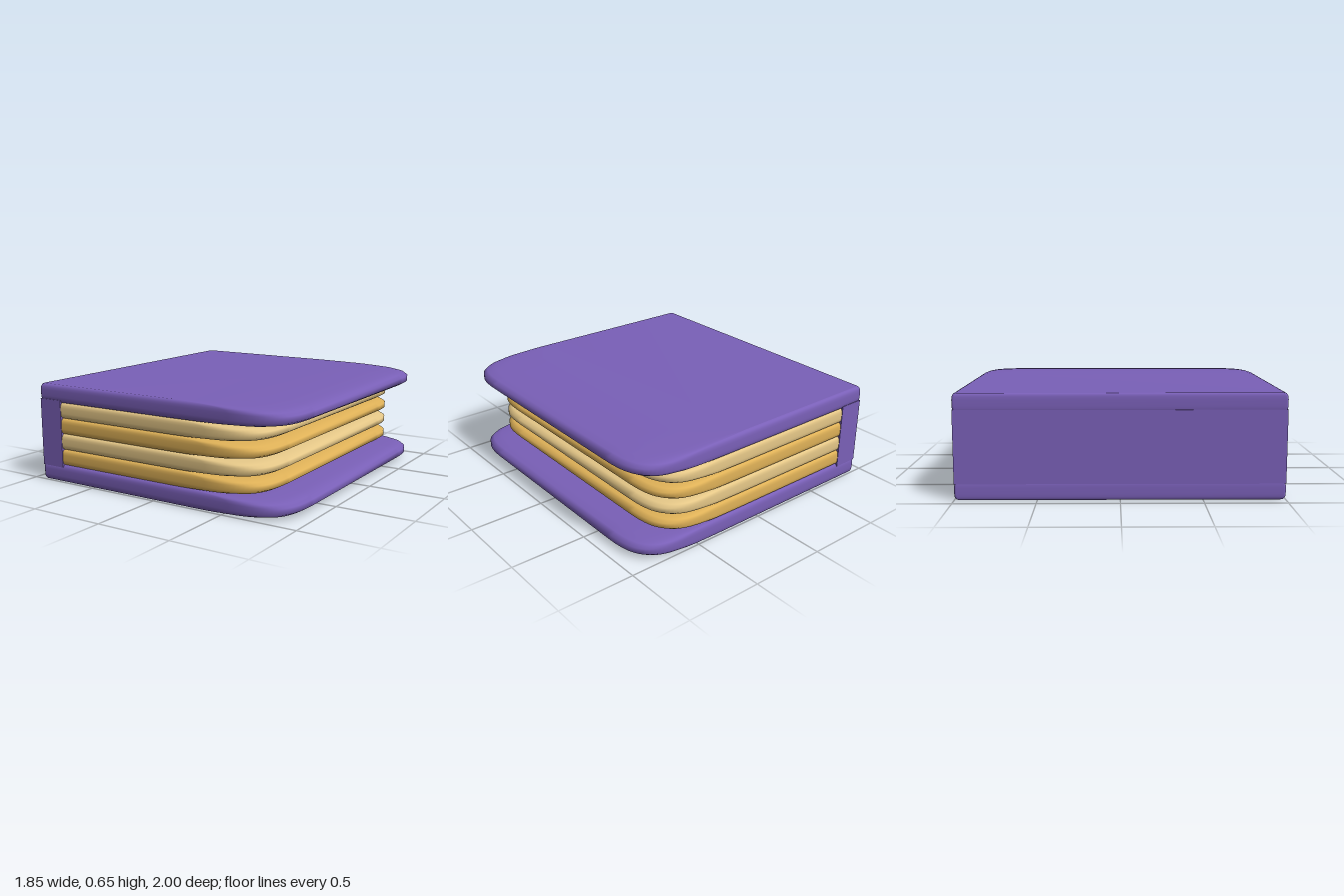
import * as THREE from 'three';

const PURPLE = new THREE.MeshStandardMaterial({ color: 0x7a60b8 });
const GOLD = new THREE.MeshStandardMaterial({ color: 0xe0b258 });
const CREAM = new THREE.MeshStandardMaterial({ color: 0xe6c888 });

// Plan outline: tight corners on the spine side, broad soft corners on the open side
function outline(x0, x1, zHalf) {
  const r = 0.015, pts = [];
  const soft = new THREE.CubicBezierCurve(
    new THREE.Vector2(x1 - 0.375, zHalf), new THREE.Vector2(x1 - 0.065, zHalf),
    new THREE.Vector2(x1, zHalf - 0.08), new THREE.Vector2(x1, zHalf - 0.35)
  ).getPoints(20);
  for (let i = 0; i <= 4; i++) {
    const a = (i / 4) * Math.PI / 2;
    pts.push(new THREE.Vector2(x0 + r - r * Math.cos(a), zHalf - r + r * Math.sin(a)));
  }
  pts.push(...soft);
  const mirrored = pts.map(p => new THREE.Vector2(p.x, -p.y)).reverse();
  return pts.concat(mirrored);
}

// Edge rounding per ring: inset at open edge, inset at ends, inset at spine, fraction of height
const EDGE = [
  [0.45, 0.022, 0.014, 0],
  [0.22, 0.012, 0.007, 0.035],
  [0.09, 0.006, 0.003, 0.1],
  [0.03, 0.002, 0.001, 0.19],
  [0, 0, 0, 0.34]
];

// Soft slab lofted through stacked outlines and capped at both ends
function slab(name, x0, x1, zHalf, y0, y1, material) {
  const h = y1 - y0;
  const rings = [
    ...EDGE.map(([a, b, c, f]) => [a, b, c, y0 + f * h]),
    ...EDGE.slice().reverse().map(([a, b, c, f]) => [a, b, c, y1 - f * h])
  ];
  const positions = [], index = [];
  let n = 0, cap;
  rings.forEach(([a, b, c, y], j) => {
    const pts = outline(x0 + c, x1 - a, zHalf - b);
    n = pts.length;
    if (j === 0) cap = THREE.ShapeUtils.triangulateShape(pts, []);
    pts.forEach(p => positions.push(p.x, y, p.y));
  });
  for (let j = 0; j < rings.length - 1; j++) {
    for (let i = 0; i < n; i++) {
      const k = (i + 1) % n;
      const a = j * n + i, b = j * n + k, c = a + n, d = b + n;
      index.push(a, b, d, a, d, c);
    }
  }
  // Orient each cap by the sign of its triangles in the xz plane
  const top = (rings.length - 1) * n;
  for (const [a, b, c] of cap) {
    const P = i => [positions[3 * i], positions[3 * i + 2]];
    const [ax, az] = P(a), [bx, bz] = P(b), [cx, cz] = P(c);
    const down = (bx - ax) * (cz - az) - (bz - az) * (cx - ax) > 0;
    const t = down ? [a, b, c] : [a, c, b];
    index.push(...t, t[0] + top, t[2] + top, t[1] + top);
  }
  const geometry = new THREE.BufferGeometry();
  geometry.setAttribute('position', new THREE.Float32BufferAttribute(positions, 3));
  geometry.setIndex(index);
  geometry.computeVertexNormals();
  const mesh = new THREE.Mesh(geometry, material);
  mesh.name = name;
  return mesh;
}

export function createModel() {
  const book = new THREE.Group();
  book.name = 'book';

  // Covers
  book.add(slab('bottomCover', -0.925, 0.925, 1, 0, 0.117, PURPLE));
  book.add(slab('topCover', -0.925, 0.925, 1, 0.533, 0.65, PURPLE));

  // Spine between the covers
  const spine = new THREE.Mesh(new THREE.BoxGeometry(0.173, 0.45, 1.998), PURPLE);
  spine.name = 'spine';
  spine.position.set(-0.8375, 0.325, 0);
  book.add(spine);

  // Alternating page blocks
  const pages = new THREE.Group();
  pages.name = 'pages';
  const step = (0.535 - 0.115) / 4;
  for (let i = 0; i < 4; i++) {
    const y = 0.115 + i * step;
    pages.add(slab('pageBlock' + (i + 1), -0.79, 0.76, 0.996, y, y + step, i % 2 ? CREAM : GOLD));
  }
  // Order of tones from the bottom: gold, cream, gold, cream
  book.add(pages);
  return book;
}
